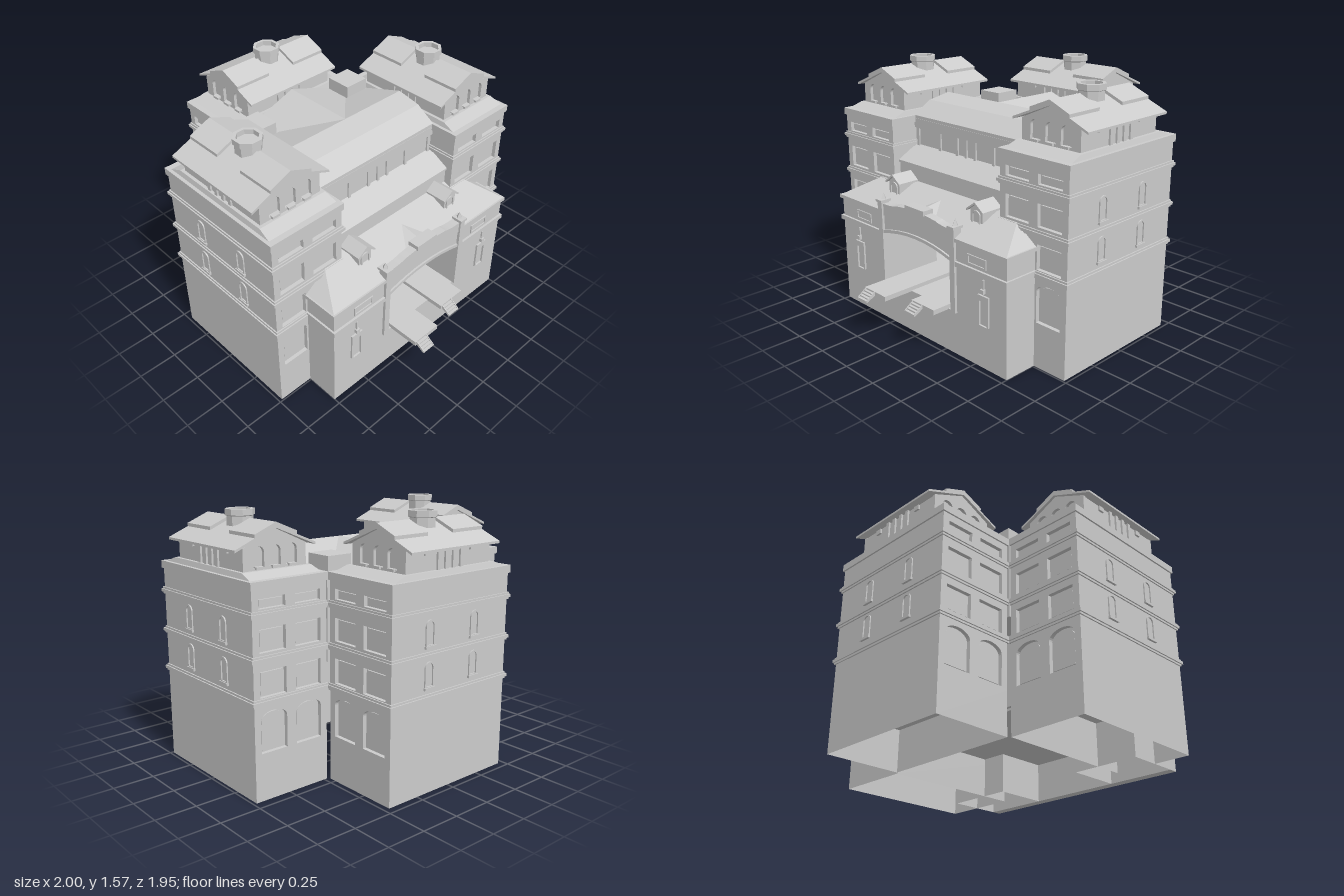
import * as THREE from 'three';
import { ConvexGeometry } from 'three/addons/geometries/ConvexGeometry.js';

const grey = new THREE.MeshStandardMaterial({ color: 0xcccccc, flatShading: true, side: THREE.DoubleSide });

function add(parent, name, geo) {
  const m = new THREE.Mesh(geo, grey);
  m.name = name;
  parent.add(m);
  return m;
}

function box(parent, name, x0, x1, y0, y1, z0, z1, openBottom = false) {
  const g = new THREE.BoxGeometry(Math.abs(x1 - x0), y1 - y0, Math.abs(z1 - z0));
  if (openBottom) {
    const idx = Array.from(g.index.array);
    idx.splice(18, 6);
    g.setIndex(idx);
    g.clearGroups();
  }
  g.translate((x0 + x1) / 2, (y0 + y1) / 2, (z0 + z1) / 2);
  return add(parent, name, g);
}

const poly = (pts) => new THREE.Shape(pts.map(([x, y]) => new THREE.Vector2(x, y)));

// Outline of an opening; rise > 0 gives an arched head
function opening(cx, w, y0, y1, rise = 0) {
  const s = new THREE.Shape();
  s.moveTo(cx - w / 2, y0);
  s.lineTo(cx + w / 2, y0);
  s.lineTo(cx + w / 2, y1 - rise);
  if (rise) s.absellipse(cx, y1 - rise, w / 2, rise, 0, Math.PI, false);
  else s.lineTo(cx - w / 2, y1);
  s.closePath();
  return s;
}

function prism(parent, name, shape, z0, z1, holes = []) {
  shape.holes.push(...holes);
  const g = new THREE.ExtrudeGeometry(shape, { depth: z1 - z0, bevelEnabled: false, curveSegments: 8 });
  g.translate(0, 0, z0);
  return add(parent, name, g);
}

// Profile given as [z, y], running along x
function profileX(parent, name, pts, x0, x1) {
  const m = prism(parent, name, poly(pts.map(([z, y]) => [-z, y])), x0, x1);
  m.geometry.rotateY(Math.PI / 2);
  return m;
}

// Two sloping slabs meeting in a ridge along z
function gableRoof(parent, name, cx, half, eave, ridge, t, z0, z1) {
  prism(parent, name, poly([[cx - half, eave - t], [cx, ridge - t], [cx + half, eave - t],
    [cx + half, eave], [cx, ridge], [cx - half, eave]]), z0, z1);
}

const W = 0.25, L = 0.465, H = 0.345; // wing half width, half length, attic half length

// Windowed end wall facing +z
function endFacade(parent) {
  const rows = [[0.28, 0.52, 0.05], [0.6, 0.75, 0], [0.85, 0.985, 0], [1.09, 1.15, 0]];
  const holes = [];
  for (const u of [-0.12, 0.12]) for (const [a, b, r] of rows) {
    holes.push(opening(u, 0.175, a, b, r));
    prism(parent, 'windowPane', opening(u, 0.15, a + 0.012, b - 0.012, r), L - 0.03, L - 0.015);
  }
  prism(parent, 'endWall', poly([[-W, 0.27], [W, 0.27], [W, 1.22], [-W, 1.22]]), L - 0.025, L, holes);
  // Attic gable with three arched lights
  const lights = [-0.11, 0, 0.11].map((u) => opening(u, 0.075, 1.285, 1.4, 0.035));
  prism(parent, 'atticGable', poly([[-0.21, 1.25], [0.21, 1.25], [0.21, 1.395], [0, 1.49], [-0.21, 1.395]]),
    H - 0.03, H - 0.01, lights);
  for (const u of [-0.11, 0, 0.11]) box(parent, 'atticSill', u - 0.025, u + 0.025, 1.275, 1.29, H - 0.02, H + 0.005);
}

// One wing, ridge along z, used three times
function makeWing(name) {
  const g = new THREE.Group();
  g.name = name;
  box(g, 'plinth', -W, W, 0, 0.27, -L, L, true);
  box(g, 'body', -W, W, 0.27, 1.22, -L + 0.025, L - 0.025, true);
  for (const y of [0.565, 0.805, 1.05]) {
    box(g, 'cornice', -W - 0.016, W + 0.016, y, y + 0.018, -L - 0.016, L + 0.016);
    box(g, 'corniceBed', -W - 0.008, W + 0.008, y - 0.012, y + 0.03, -L - 0.008, L + 0.008);
  }
  box(g, 'parapet', -W - 0.01, W + 0.01, 1.195, 1.24, -L - 0.01, L + 0.01);
  // Sloped skirt between parapet and attic
  const skirt = [];
  for (const sx of [-1, 1]) for (const sz of [-1, 1])
    skirt.push(new THREE.Vector3(sx * 0.24, 1.235, sz * 0.45), new THREE.Vector3(sx * 0.23, 1.27, sz * 0.355));
  add(g, 'skirtRoof', new ConvexGeometry(skirt));
  prism(g, 'attic', poly([[-0.21, 1.25], [0.21, 1.25], [0.21, 1.39], [0, 1.485], [-0.21, 1.39]]), -H + 0.03, H - 0.03);
  gableRoof(g, 'roof', 0, 0.268, 1.393, 1.505, 0.014, -0.35, 0.35);
  for (const s of [-1, 1]) {
    gableRoof(g, 'ridgeCap', 0, 0.14, 1.466, 1.524, 0.03, s > 0 ? 0.1 : -0.35, s > 0 ? 0.35 : -0.1);
    // Long sides: attic piers and vents, narrow arched windows below
    for (const z of [-0.09, -0.03, 0.03, 0.09]) box(g, 'atticPier', s * 0.2, s * 0.222, 1.25, 1.395, z - 0.012, z + 0.012);
    const side = new THREE.Group();
    side.name = 'sideWindows';
    side.rotation.y = s * Math.PI / 2;
    for (const u of [-0.18, 0.18]) {
      box(side, 'atticVent', u - 0.02, u + 0.02, 1.355, 1.385, 0.2, 0.222);
      for (const y of [0.63, 0.865]) {
        prism(side, 'windowFrame', opening(u, 0.07, y, y + 0.15, 0.035), W - 0.01, W + 0.008,
          [opening(u, 0.05, y + 0.01, y + 0.14, 0.025)]);
        box(side, 'windowSill', u - 0.04, u + 0.04, y - 0.01, y + 0.005, W - 0.01, W + 0.014);
      }
    }
    g.add(side);
    const end = new THREE.Group();
    end.name = 'endFacade';
    end.rotation.y = s > 0 ? 0 : Math.PI;
    endFacade(end);
    g.add(end);
  }
  // Octagonal vent on the ridge
  const vent = [[0.078, 1.4], [0.078, 1.53], [0.087, 1.535], [0.087, 1.57], [0.066, 1.57], [0.066, 1.54], [0, 1.54]];
  add(g, 'roofVent', new THREE.LatheGeometry(vent.map(([r, y]) => new THREE.Vector2(r, y)), 8)).rotation.y = Math.PI / 8;
  return g;
}

function makeHall() {
  const g = new THREE.Group();
  g.name = 'centralHall';
  box(g, 'upperHall', -0.48, 0.48, 0.72, 1.22, -0.45, 0.3);
  box(g, 'innerBackWall', -0.48, 0.48, 0.27, 0.72, -0.27, -0.25);
  box(g, 'hallFloor', -0.48, 0.48, 0.255, 0.27, -0.25, 0.66);
  profileX(g, 'hallRoof', [[0.31, 1.22], [0.31, 1.24], [0.18, 1.32], [0.02, 1.35], [-0.27, 1.25], [-0.27, 1.22]], -0.48, 0.48);
  prism(g, 'linkRoof', poly([[-0.31, 1.21], [0.31, 1.21], [0.31, 1.24], [0, 1.35], [-0.31, 1.24]]), -0.47, 0.02);
  box(g, 'eaveBand', -0.48, 0.48, 1.16, 1.22, 0.29, 0.312);
  for (const x of [-0.45, -0.24, -0.08, 0, 0.08, 0.24, 0.45]) box(g, 'clerestoryPier', x - 0.01, x + 0.01, 1.04, 1.17, 0.29, 0.31);
  for (const s of [-1, 1]) box(g, 'cornerBlock', s * 0.3, s * 0.47, 1.2, 1.325, -0.445, -0.27);
  profileX(g, 'leanToRoof', [[0.29, 1.055], [0.45, 0.97], [0.45, 0.955], [0.44, 0.955], [0.44, 0.75], [0.29, 0.75]], -0.48, 0.48);
  return g;
}

function makeFrontBlock() {
  const g = new THREE.Group();
  g.name = 'frontBlock';
  // Front wall with a wide segmental arch
  const arch = new THREE.Path();
  arch.moveTo(-0.31, 0.27);
  arch.lineTo(0.31, 0.27);
  arch.lineTo(0.31, 0.585);
  arch.quadraticCurveTo(0, 0.675, -0.31, 0.585);
  arch.closePath();
  prism(g, 'frontWall', poly([[-0.75, 0], [0.75, 0], [0.75, 0.73], [-0.75, 0.73]]), 0.65, 0.71, [arch]);
  const rim = new THREE.Shape();
  rim.moveTo(-0.31, 0.585);
  rim.quadraticCurveTo(0, 0.675, 0.31, 0.585);
  rim.lineTo(0.31, 0.605);
  rim.quadraticCurveTo(0, 0.695, -0.31, 0.605);
  prism(g, 'archBand', rim, 0.7, 0.722);
  // Curved parapet over the arch
  const top = new THREE.Shape();
  top.moveTo(-0.31, 0.7);
  top.lineTo(0.31, 0.7);
  top.lineTo(0.31, 0.775);
  top.quadraticCurveTo(0.22, 0.775, 0.18, 0.79);
  top.quadraticCurveTo(0, 0.815, -0.18, 0.79);
  top.quadraticCurveTo(-0.22, 0.775, -0.31, 0.775);
  prism(g, 'curvedParapet', top, 0.66, 0.715);
  box(g, 'parapetCrest', -0.085, 0.085, 0.795, 0.825, 0.65, 0.725);
  // Hipped roof and the small gable behind the parapet
  const hip = [], cross = [];
  for (const s of [-1, 1]) {
    for (const z of [0.44, 0.715]) for (const y of [0.72, 0.735]) hip.push(new THREE.Vector3(s * 0.755, y, z));
    hip.push(new THREE.Vector3(s * 0.58, 0.86, 0.44));
    cross.push(new THREE.Vector3(s * 0.16, 0.74, 0.67));
  }
  cross.push(new THREE.Vector3(0, 0.8, 0.67), new THREE.Vector3(0, 0.83, 0.49), new THREE.Vector3(0, 0.74, 0.49));
  add(g, 'hippedRoof', new ConvexGeometry(hip));
  add(g, 'crossGable', new ConvexGeometry(cross));

  for (const s of [-1, 1]) {
    box(g, 'sideBlock', s * 0.31, s * 0.75, 0, 0.725, 0.3, 0.66, true);
    box(g, 'stringCourse', s * 0.35, s * 0.762, 0.565, 0.595, 0.4, 0.725);
    box(g, 'eaveCornice', s * 0.35, s * 0.765, 0.712, 0.735, 0.4, 0.725);
    box(g, 'pilaster', s * 0.31, s * 0.35, 0.27, 0.79, 0.67, 0.727);
    box(g, 'pilasterCap', s * 0.303, s * 0.357, 0.785, 0.8, 0.66, 0.735);
    add(g, 'finial', new THREE.ConeGeometry(0.02, 0.04, 4).translate(s * 0.33, 0.82, 0.695));
    // Door with frame, lamp, and frieze panels
    prism(g, 'doorFrame', opening(s * 0.575, 0.085, 0.27, 0.455), 0.7, 0.722, [opening(s * 0.575, 0.06, 0.27, 0.42)]);
    box(g, 'lampBracket', s * 0.57, s * 0.58, 0.49, 0.55, 0.705, 0.72);
    box(g, 'lamp', s * 0.562, s * 0.588, 0.47, 0.495, 0.705, 0.73);
    prism(g, 'friezePanel', opening(s * 0.52, 0.15, 0.61, 0.67), 0.705, 0.717, [opening(s * 0.52, 0.13, 0.62, 0.66)]);
    // Dormer
    const c = s * 0.375;
    prism(g, 'dormer', poly([[c - 0.05, 0.76], [c + 0.05, 0.76], [c + 0.05, 0.87], [c, 0.905], [c - 0.05, 0.87]]), 0.43, 0.575);
    gableRoof(g, 'dormerRoof', c, 0.068, 0.87, 0.92, 0.012, 0.43, 0.59);
    prism(g, 'dormerWindow', opening(c, 0.07, 0.785, 0.87, 0.03), 0.57, 0.583, [opening(c, 0.05, 0.795, 0.86, 0.02)]);
  }
  return g;
}

// Platform running out through the arch, with steps at its end
function makePlatform(x0, x1, zEnd, stepX0) {
  const g = new THREE.Group();
  g.name = 'platform';
  box(g, 'deck', x0, x1, 0.265, 0.295, -0.2, zEnd);
  for (let i = 0; i < 4; i++) {
    const z = zEnd + i * 0.015, y = 0.285 - i * 0.011;
    box(g, 'step', stepX0, stepX0 + 0.09, y - 0.008, y, z, z + 0.018);
  }
  for (const x of [stepX0, stepX0 + 0.085])
    profileX(g, 'stringer', [[zEnd, 0.27], [zEnd, 0.295], [zEnd + 0.06, 0.255], [zEnd + 0.06, 0.24]], x, x + 0.005);
  return g;
}

export function createModel() {
  const model = new THREE.Group();
  model.name = 'stationBuilding';
  const left = makeWing('leftWing'), right = makeWing('rightWing'), rear = makeWing('rearWing');
  left.position.set(0.73, 0, 0.025);
  right.position.set(-0.73, 0, 0.025);
  rear.position.set(0, 0, -0.705);
  rear.rotation.y = Math.PI / 2;
  model.add(left, right, rear, makeHall(), makeFrontBlock(),
    makePlatform(-0.27, -0.07, 0.91, -0.26), makePlatform(0.07, 0.27, 0.82, 0.08));
  return model;
}
